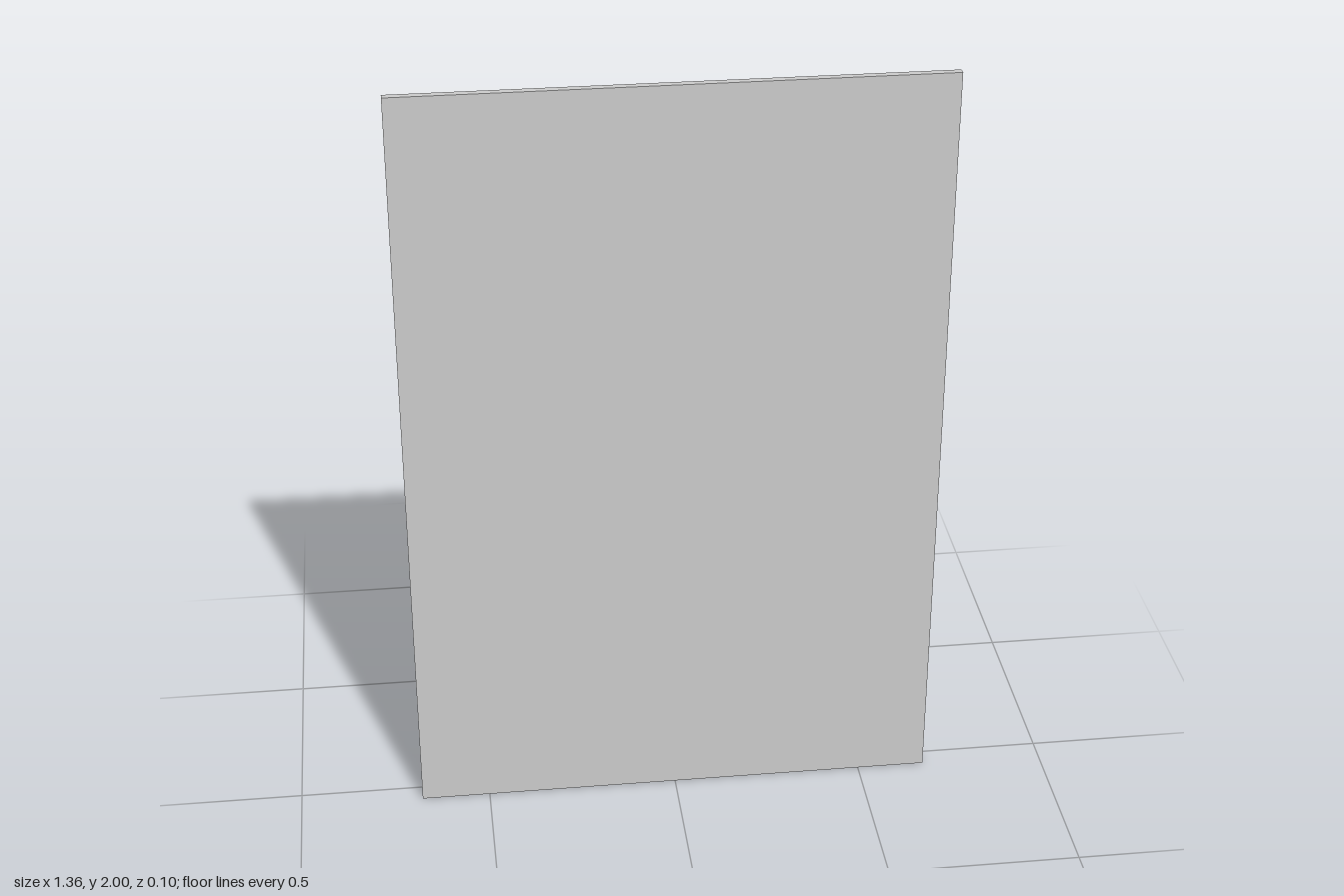
import * as THREE from 'three';

const material = new THREE.MeshStandardMaterial({ color: 0xcccccc });
const flatMaterial = new THREE.MeshStandardMaterial({ color: 0xcccccc, flatShading: true });

// Cylinder along z between two depths
function disc(name, radius, front, back, sides = 32) {
  const geometry = new THREE.CylinderGeometry(radius, radius, front - back, sides);
  if (sides === 6) geometry.rotateY(Math.PI / 6);
  geometry.rotateX(Math.PI / 2);
  const mesh = new THREE.Mesh(geometry, sides === 6 ? flatMaterial : material);
  mesh.name = name;
  mesh.position.z = (front + back) / 2;
  return mesh;
}

// Stand-off fixing: spacer, threaded stud, washer and hex nut
function createFixing() {
  const fixing = new THREE.Group();
  fixing.add(
    disc('spacer', 0.025, 0.032, -0.003),
    disc('stud', 0.012, 0, -0.051),
    disc('washer', 0.025, -0.014, -0.017),
    disc('nut', 0.022, -0.017, -0.043, 6)
  );
  return fixing;
}

export function createModel() {
  const model = new THREE.Group();
  model.name = 'mountedPanel';

  // Flat panel
  const panel = new THREE.Mesh(new THREE.BoxGeometry(1.358, 2, 0.019), material);
  panel.name = 'panel';
  panel.position.set(0, 1, 0.0415);
  model.add(panel);

  // Four fixings on the back
  for (const [side, x] of [['left', 0.615], ['right', -0.615]]) {
    for (const [level, y] of [['Lower', 0.053], ['Upper', 1.147]]) {
      const fixing = createFixing();
      fixing.name = `${side}${level}Fixing`;
      fixing.position.set(x, y, 0);
      model.add(fixing);
    }
  }
  return model;
}
